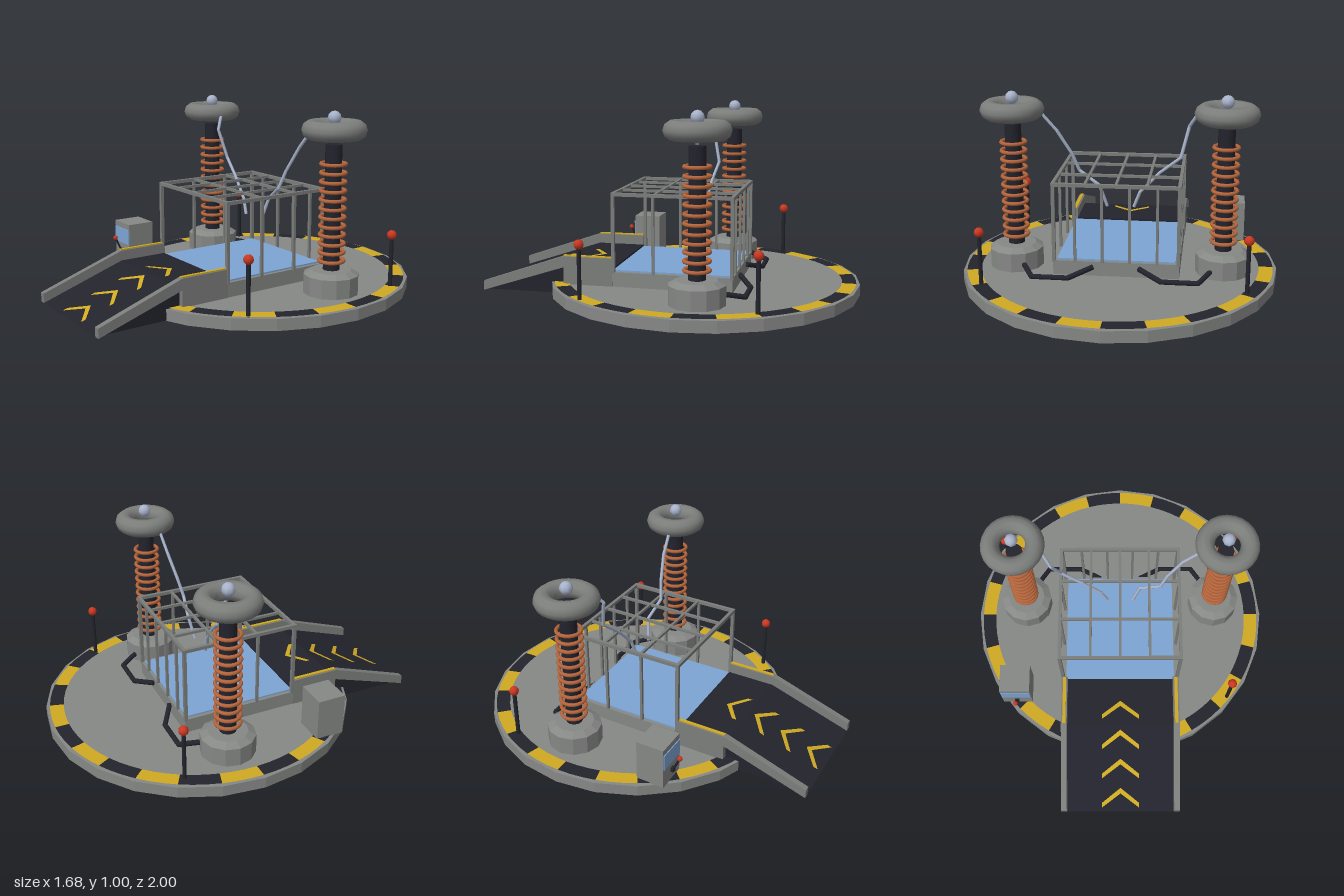
import * as THREE from 'three';
import { toCreasedNormals } from 'three/addons/utils/BufferGeometryUtils.js';

const mat = (name, color) => {
  const m = new THREE.MeshStandardMaterial({ color });
  m.name = name;
  return m;
};

export function createModel() {
  const concrete = mat('concrete grey', 0x868886);
  const steel = mat('steel grey', 0x7c7e7c);
  const dark = mat('dark navy', 0x23232d);
  const yellow = mat('hazard yellow', 0xcfaa22);
  const copper = mat('copper', 0xb8663c);
  const blue = mat('panel blue', 0x7ea5d4);
  const spark = mat('spark blue', 0xa9b4cc);
  const red = mat('signal red', 0xcc3822);

  const root = new THREE.Group();
  root.name = 'coilPlatform';

  const add = (name, geo, material, x = 0, y = 0, z = 0, parent = root) => {
    const m = new THREE.Mesh(geo, material);
    m.name = name;
    m.position.set(x, y, z);
    parent.add(m);
    return m;
  };
  // Box given by its min and max corners
  const box = (name, material, x0, x1, y0, y1, z0, z1, parent = root) =>
    add(name, new THREE.BoxGeometry(x1 - x0, y1 - y0, z1 - z0), material,
      (x0 + x1) / 2, (y0 + y1) / 2, (z0 + z1) / 2, parent);
  const faceted = (geo) => toCreasedNormals(geo, 0.15);
  // Straight rod between two points
  const rod = (name, material, a, b, r, sides, parent = root) => {
    const p = new THREE.Vector3(...a), q = new THREE.Vector3(...b);
    const d = q.clone().sub(p);
    const m = add(name, new THREE.CylinderGeometry(r, r, d.length(), sides), material, 0, 0, 0, parent);
    m.position.copy(p).add(q).multiplyScalar(0.5);
    m.quaternion.setFromUnitVectors(new THREE.Vector3(0, 1, 0), d.normalize());
    return m;
  };
  // Angular tube through a list of points
  const bentRod = (name, material, pts, r, sides) => {
    const g = new THREE.Group();
    g.name = name;
    root.add(g);
    for (let i = 0; i + 1 < pts.length; i++) {
      rod(name + 'Piece', material, pts[i], pts[i + 1], r, sides, g);
      if (i) add(name + 'Joint', new THREE.SphereGeometry(r, sides, 4), material, ...pts[i], g);
    }
  };
  // Side profile of [z, y] points, extruded across x
  const profile = (name, material, pts, x0, x1) => {
    const shape = new THREE.Shape(pts.map(([z, y]) => new THREE.Vector2(z, y)));
    const geo = new THREE.ExtrudeGeometry(shape, { depth: x1 - x0, bevelEnabled: false });
    geo.rotateY(-Math.PI / 2);
    return add(name, geo, material, x1, 0, 0);
  };

  // Round base with a striped hazard ring
  add('baseDisc', faceted(new THREE.CylinderGeometry(0.84, 0.84, 0.06, 24)), concrete, 0, 0.03, -0.16);
  const step = Math.PI / 12;
  for (let k = 0; k < 24; k++) {
    const geo = new THREE.RingGeometry(0.745, 0.82, 1, 1, Math.PI / 2 - (k + 1) * step, step);
    geo.rotateX(-Math.PI / 2);
    add('hazardStripe', geo, k % 2 ? dark : yellow, 0, 0.064, -0.16);
  }

  // Raised platform with a blue floor
  box('platform', concrete, -0.33, 0.33, 0.06, 0.138, -0.37, 0.27);
  box('floorPanel', blue, -0.31, 0.31, 0.138, 0.146, -0.355, 0.27);

  // Cage: posts on the sides and back, grid on the roof, open front
  const cage = new THREE.Group();
  cage.name = 'cage';
  root.add(cage);
  const X = 0.325, zBack = -0.365, zFront = 0.265, top = 0.55;
  const bar = (x0, y0, z0, x1, y1, z1, h = 0.009) =>
    box('cageBar', steel, x0 - h, x1 + h, y0 - h, y1 + h, z0 - h, z1 + h, cage);
  const post = (x, z, h) => bar(x, 0.14, z, x, top, z, h);
  for (const x of [-X, X]) {
    for (const z of [zBack, zFront]) post(x, z);
    for (const z of [-0.165, 0.05]) post(x, z, 0.007);
    bar(x, top, zBack, x, top, zFront);
  }
  for (const x of [-0.215, -0.072, 0.072, 0.215]) post(x, zBack, 0.007);
  for (const z of [zBack, zFront]) bar(-X, top, z, X, top, z);
  for (const z of [-0.175, 0.045]) bar(-X, top, z, X, top, z, 0.007);
  for (const x of [-0.16, 0, 0.16]) bar(x, top, zBack, x, top, zFront, 0.007);

  // Ramp: level deck, slope and raised curbs
  const deckY = 0.155, bend = 0.54;
  profile('rampDeck', dark,
    [[1, 0], [bend, deckY], [0.27, deckY], [0.27, 0.05], [0.5, 0.05], [0.55, 0.002]], -0.302, 0.302);
  for (const s of [-1, 1]) {
    const x0 = s > 0 ? 0.3 : -0.333;
    profile('rampCurb', steel,
      [[1, 0], [1, 0.05], [bend, 0.21], [0.27, 0.21], [0.27, 0.058], [bend, 0.058], [bend, deckY - 0.005]],
      x0, x0 + 0.033);
    box('curbStripe', yellow, s * 0.316 - 0.009, s * 0.316 + 0.009, 0.21, 0.216, 0.275, bend);
  }

  // Chevrons painted on the ramp
  const rampY = (z) => (z < bend ? deckY : deckY * (1 - z) / (1 - bend)) + 0.004;
  for (const z of [0.4, 0.565, 0.72, 0.875]) {
    const pos = [];
    for (const s of [-1, 1]) {
      const c = [[0, z], [0, z + 0.03], [s * 0.105, z + 0.105], [s * 0.105, z + 0.08]]
        .map(([x, cz]) => [x, rampY(cz), cz]);
      const order = s > 0 ? [0, 1, 2, 0, 2, 3] : [0, 2, 1, 0, 3, 2];
      for (const i of order) pos.push(...c[i]);
    }
    const geo = new THREE.BufferGeometry();
    geo.setAttribute('position', new THREE.Float32BufferAttribute(pos, 3));
    geo.computeVertexNormals();
    add('chevron', geo, yellow);
  }

  // Twin coil towers
  for (const s of [-1, 1]) {
    const tower = new THREE.Group();
    tower.name = s > 0 ? 'leftCoilTower' : 'rightCoilTower';
    tower.position.set(s * 0.553, 0, -0.23);
    root.add(tower);
    add('towerFoot', faceted(new THREE.CylinderGeometry(0.145, 0.145, 0.1, 12)), concrete, 0, 0.11, 0, tower);
    add('towerFootCap', faceted(new THREE.CylinderGeometry(0.105, 0.145, 0.022, 12)), concrete, 0, 0.171, 0, tower);
    add('towerCore', new THREE.CylinderGeometry(0.044, 0.044, 0.655, 12), dark, 0, 0.5075, 0, tower);
    for (let i = 0; i < 12; i++) {
      const ring = new THREE.TorusGeometry(0.064, 0.01, 6, 20).rotateX(Math.PI / 2);
      add('copperRing', ring, copper, 0, 0.735 - i * 0.046, 0, tower);
    }
    const halo = new THREE.TorusGeometry(0.117, 0.05, 10, 24).rotateX(Math.PI / 2);
    add('topToroid', halo, steel, 0, 0.908, 0, tower);
    add('topBall', new THREE.SphereGeometry(0.035, 8, 6), spark, 0, 0.97, 0, tower);

    // Power cable from tower foot to platform
    bentRod('powerCable', dark, [[s * 0.49, 0.1, -0.35], [s * 0.43, 0.075, -0.45],
      [s * 0.24, 0.075, -0.45], [s * 0.12, 0.11, -0.375]], 0.014, 8);
  }

  // Jagged electric arcs
  bentRod('electricArc', spark, [[-0.4, 0.89, -0.19], [-0.36, 0.82, -0.145], [-0.32, 0.66, -0.18],
    [-0.21, 0.57, -0.16], [-0.105, 0.455, -0.145], [-0.072, 0.37, -0.138]], 0.009, 6);
  bentRod('electricArc', spark, [[0.41, 0.885, -0.195], [0.33, 0.79, -0.185], [0.255, 0.66, -0.16],
    [0.22, 0.565, -0.14], [0.11, 0.49, -0.16], [0.072, 0.37, -0.138]], 0.009, 6);

  // Warning beacons on the rim
  for (const [x, z] of [[-0.675, -0.52], [0.67, -0.545], [0.62, 0.35]]) {
    rod('beaconPole', dark, [x, 0.06, z], [x, 0.33, z], 0.011, 8);
    add('beaconLamp', new THREE.SphereGeometry(0.026, 8, 6), red, x, 0.342, z);
  }

  // Control box with screen and lever
  box('controlBox', concrete, -0.675, -0.508, 0.06, 0.29, 0.225, 0.378);
  box('controlScreen', blue, -0.672, -0.511, 0.17, 0.258, 0.377, 0.383);
  box('leverMount', dark, -0.602, -0.58, 0.112, 0.136, 0.375, 0.395);
  rod('leverArm', dark, [-0.591, 0.125, 0.388], [-0.591, 0.2, 0.423], 0.006, 6);
  add('leverKnob', new THREE.SphereGeometry(0.014, 8, 6), red, -0.591, 0.205, 0.425);

  return root;
}
